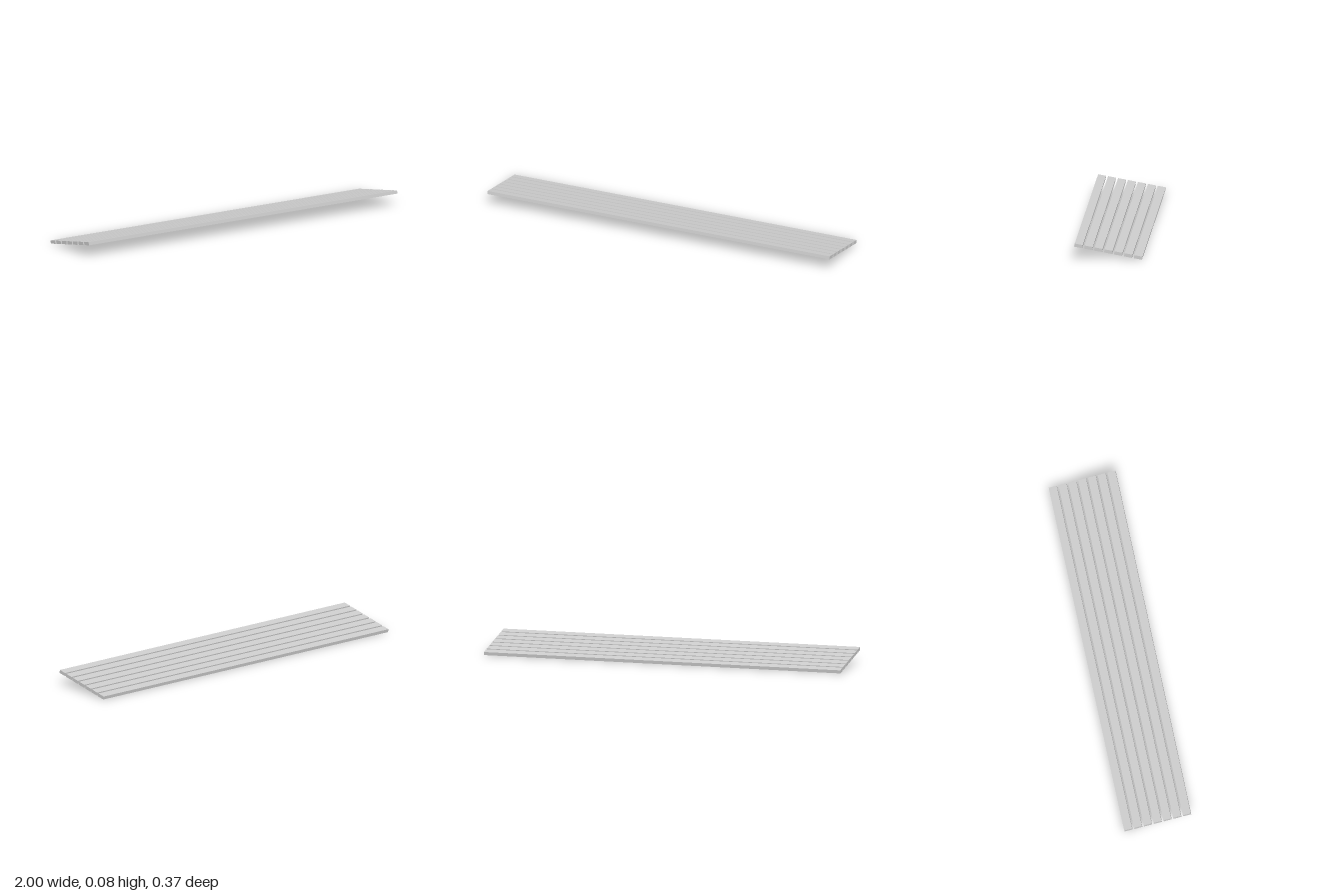
import * as THREE from 'three';

const COUNT = 7;        // number of slats
const PITCH = 0.0545;   // spacing along the slope
const WIDTH = 0.044;
const THICKNESS = 0.0175;
const TILT = THREE.MathUtils.degToRad(10.5);

export function createModel() {
  const model = new THREE.Group();
  model.name = 'slattedPanel';
  const material = new THREE.MeshStandardMaterial({ color: 0xcccccc, flatShading: true });
  const geometry = new THREE.BoxGeometry(2, THICKNESS, WIDTH);

  // Sloping panel, front edge raised
  const panel = new THREE.Group();
  panel.name = 'tiltedSlats';
  for (let i = 0; i < COUNT; i++) {
    const slat = new THREE.Mesh(geometry, material);
    slat.name = `slat${i + 1}`;
    slat.position.z = (i - (COUNT - 1) / 2) * PITCH;
    panel.add(slat);
  }
  panel.rotation.x = -TILT;

  // Rest the lowest edge on the ground
  const length = (COUNT - 1) * PITCH + WIDTH;
  panel.position.y = (length * Math.sin(TILT) + THICKNESS * Math.cos(TILT)) / 2;
  model.add(panel);
  return model;
}
